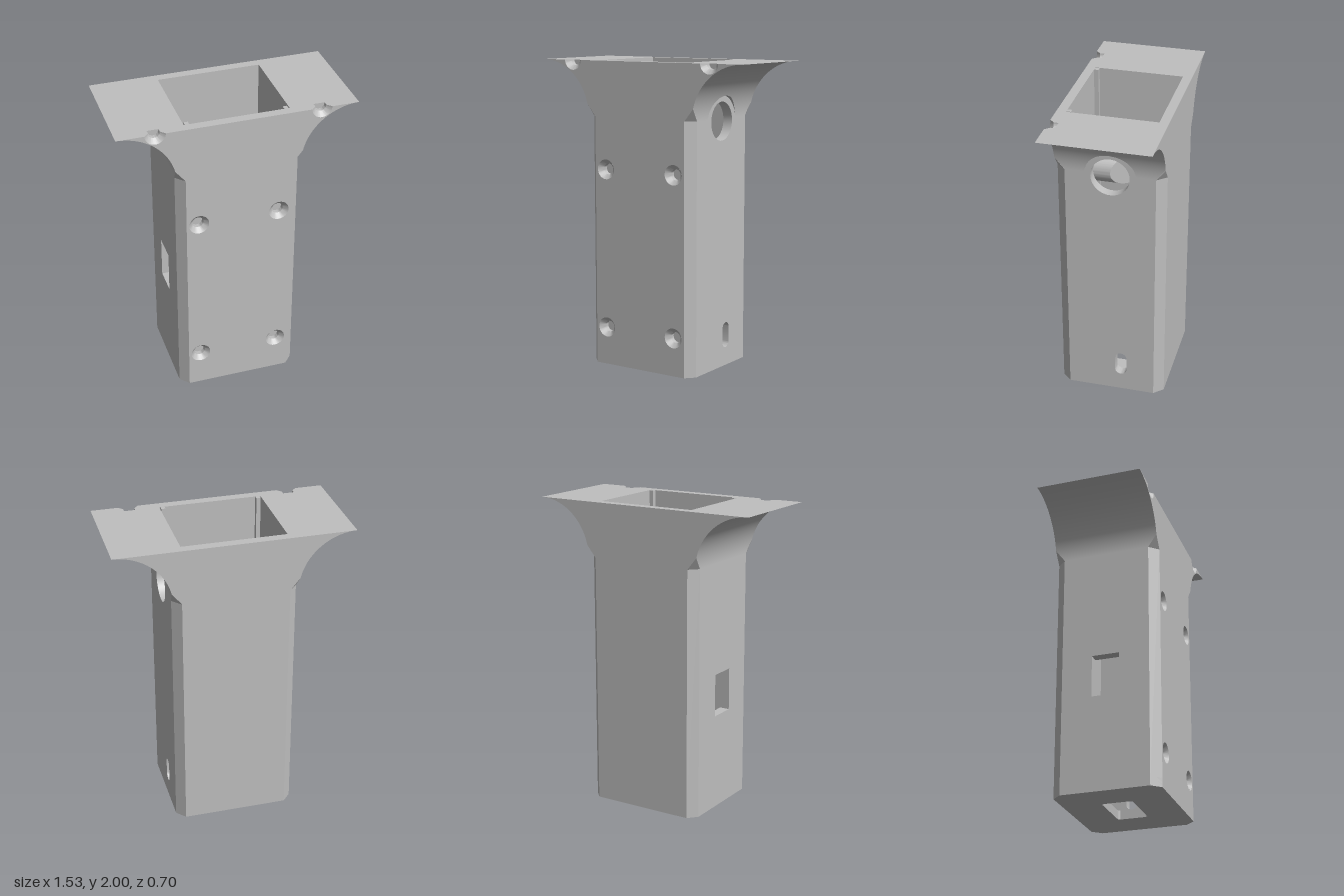
import * as THREE from 'three';
import { toCreasedNormals } from 'three/addons/utils/BufferGeometryUtils.js';
import { ParametricGeometry } from 'three/addons/geometries/ParametricGeometry.js';

const H = 2, HALF_X = 0.4, HALF_Z = 0.35;      // column
const CAV_X = 0.335, CAV_Z = 0.29;             // cavity (CAV_Z is also where the chamfers start)
const CH_X = 0.345, CH_Y = 1.64, STOP_Y = 1.72; // corner chamfers
const TOP_X = 0.765, FX = 0.365, FY = H - CH_Y; // flare ellipse
const BORE_Y = 1.62, BORE_R = 0.125, COUNTER_R = 0.165;
const SCREW_X = 0.263, NOTCH_X = 0.525, SCREW_R = 0.065, PIN_R = 0.036;

const flareX = (y) => TOP_X - FX * Math.sqrt(Math.max(0, 1 - ((y - CH_Y) / FY) ** 2));
const counterHalf = (y) => Math.sqrt(Math.max(0, COUNTER_R ** 2 - (y - BORE_Y) ** 2));
const flareHalfZ = (y) => Math.min(HALF_Z, CAV_Z + (HALF_Z - CAV_Z) * (y - CH_Y) / (STOP_Y - CH_Y));

const polygon = (pts) => new THREE.Shape(pts.map(([x, y]) => new THREE.Vector2(x, y)));
const rect = (x0, y0, x1, y1) => polygon([[x0, y0], [x1, y0], [x1, y1], [x0, y1]]);
const circle = (x, y, r) => new THREE.Path().absarc(x, y, r, 0, Math.PI * 2);
const extrude = (shape, depth) => new THREE.ExtrudeGeometry(shape, { depth, bevelEnabled: false, curveSegments: 24 });

// Flat convex face from its corners
function face(...pts) {
  const out = [];
  for (let i = 1; i < pts.length - 1; i++) out.push(...pts[0], ...pts[i], ...pts[i + 1]);
  const g = new THREE.BufferGeometry();
  g.setAttribute('position', new THREE.Float32BufferAttribute(out, 3));
  g.computeVertexNormals();
  return g;
}

// Flared silhouette of the front and back
function facadeShape(notched) {
  const s = new THREE.Shape();
  const arc = [];
  for (let i = 0; i <= 28; i++) {
    const y = CH_Y + FY * Math.sin((0.2239 + (Math.PI / 2 - 0.2239) * i / 28));
    arc.push([flareX(y), y]);
  }
  s.moveTo(-CH_X, 0).lineTo(CH_X, 0).lineTo(CH_X, CH_Y);
  arc.forEach(([x, y]) => s.lineTo(x, y));
  if (notched) for (const x of [NOTCH_X, -NOTCH_X]) {
    s.lineTo(x + SCREW_R, H);
    s.absarc(x, H, SCREW_R, 0, Math.PI, true);
  }
  arc.reverse().forEach(([x, y]) => s.lineTo(-x, y));
  s.lineTo(-CH_X, CH_Y);
  if (notched) for (const x of [-SCREW_X, SCREW_X]) for (const y of [0.25, 1.3]) s.holes.push(circle(x, y, SCREW_R));
  return s;
}

// Half of the flare surface, between two z limits that depend on height
const flare = (z0, z1) => new ParametricGeometry((u, v, p) => {
  const y = CH_Y + FY * Math.sin(u * Math.PI / 2);
  p.set(flareX(y), y, z0(y) + (z1(y) - z0(y)) * v);
}, 64, 1);

// Countersunk screw recess, opening toward +z
function recess(phi, length) {
  const pts = [[SCREW_R, 0], [PIN_R, -0.03], [PIN_R, -0.06], [0, -0.06]].map(([x, y]) => new THREE.Vector2(x, y));
  const g = new THREE.LatheGeometry(pts, 32, phi, length).rotateX(Math.PI / 2);
  return toCreasedNormals(g, 0.5);
}

export function createModel() {
  const model = new THREE.Group();
  model.name = 'flaredHollowColumn';
  const grey = new THREE.MeshStandardMaterial({ color: 0xbfbfbf, side: THREE.DoubleSide });
  grey.name = 'plain grey';
  const add = (name, geometry, x = 0, y = 0, z = 0, ry = 0) => {
    const m = new THREE.Mesh(geometry, grey);
    m.name = name;
    m.position.set(x, y, z);
    m.rotation.y = ry;
    model.add(m);
    return m;
  };

  // Front and back faces with the inner cavity walls
  add('frontFace', new THREE.ShapeGeometry(facadeShape(true), 24), 0, 0, HALF_Z);
  add('backFace', new THREE.ShapeGeometry(facadeShape(false), 24), 0, 0, -HALF_Z, Math.PI);
  add('cavityFrontWall', new THREE.PlaneGeometry(CAV_X * 2, H), 0, H / 2, CAV_Z, Math.PI);
  add('cavityBackWall', new THREE.PlaneGeometry(CAV_X * 2, H), 0, H / 2, -CAV_Z);

  // Side walls: round bore and cable slot on +x, window on -x
  const leftShape = rect(-CAV_Z, 0, CAV_Z, H);
  const slot = new THREE.Path();
  slot.absarc(0.065, 0.25, 0.039, 0, Math.PI).absarc(0.065, 0.16, 0.039, Math.PI, Math.PI * 2);
  leftShape.holes.push(slot, circle(0, BORE_Y, BORE_R));
  const rightShape = rect(-CAV_Z, 0, CAV_Z, H);
  rightShape.holes.push(rect(-0.09, 0.63, 0.09, 0.91));
  const wall = HALF_X - CAV_X;
  add('leftWall', toCreasedNormals(extrude(leftShape, wall).rotateY(Math.PI / 2), 0.5), CAV_X);
  add('rightWall', extrude(rightShape, wall).rotateY(Math.PI / 2), -HALF_X);

  // Flares; the +x one is cut by the counterbore
  add('leftFlareFront', flare(counterHalf, flareHalfZ));
  add('leftFlareBack', flare((y) => -flareHalfZ(y), (y) => -counterHalf(y)));
  add('rightFlare', flare((y) => -flareHalfZ(y), flareHalfZ), 0, 0, 0, Math.PI);
  const a0 = Math.asin((CH_Y - BORE_Y) / COUNTER_R);
  add('counterboreRim', new ParametricGeometry((u, v, p) => {
    const a = a0 + (Math.PI - 2 * a0) * u;
    const y = BORE_Y + COUNTER_R * Math.sin(a);
    p.set(HALF_X + (flareX(y) - HALF_X) * v, y, COUNTER_R * Math.cos(a));
  }, 40, 1));

  // Corner chamfers with their slanted stops
  for (const sx of [1, -1]) for (const sz of [1, -1]) {
    const P = (x, y, z) => [x * sx, y, z * sz];
    const order = (pts) => (sx * sz > 0 ? pts : pts.reverse());
    add('cornerChamfer', face(...order([P(CH_X, 0, HALF_Z), P(HALF_X, 0, CAV_Z), P(HALF_X, CH_Y, CAV_Z), P(CH_X, CH_Y, HALF_Z)])));
    add('chamferStop', face(...order([P(CH_X, CH_Y, HALF_Z), P(HALF_X, CH_Y, CAV_Z), P(flareX(STOP_Y), STOP_Y, HALF_Z)])));
  }

  // Top rim with the notches cut into its front edge
  const rim = [[-TOP_X, HALF_Z], [-TOP_X, -HALF_Z]];
  for (const x of [-NOTCH_X, NOTCH_X]) {
    for (const [dx, z] of [[-SCREW_R, 0.35], [-PIN_R, 0.32], [-PIN_R, 0.29], [PIN_R, 0.29], [PIN_R, 0.32], [SCREW_R, 0.35]]) rim.push([x + dx, -z]);
  }
  rim.push([TOP_X, -HALF_Z], [TOP_X, HALF_Z]);
  const rimShape = polygon(rim);
  rimShape.holes.push(rect(-CAV_X, -CAV_Z, CAV_X, CAV_Z));
  add('topRim', new THREE.ShapeGeometry(rimShape).rotateX(-Math.PI / 2), 0, H, 0);

  // Floor with a rounded opening
  const floor = polygon([[-CH_X, -HALF_Z], [CH_X, -HALF_Z], [HALF_X, -CAV_Z], [HALF_X, CAV_Z],
    [CH_X, HALF_Z], [-CH_X, HALF_Z], [-HALF_X, CAV_Z], [-HALF_X, -CAV_Z]]);
  const ox = 0.162, oz = 0.1, r = 0.018, opening = new THREE.Path();
  [[1, 1], [-1, 1], [-1, -1], [1, -1]].forEach(([sx, sz], i) =>
    opening.absarc(sx * (ox - r), sz * (oz - r), r, i * Math.PI / 2, (i + 1) * Math.PI / 2));
  floor.holes.push(opening);
  add('floor', extrude(floor, 0.06).rotateX(-Math.PI / 2));

  for (const s of [1, -1]) {
    // Screw recesses, bosses behind them and the half notches at the top
    for (const y of [0.25, 1.3]) {
      add('screwRecess', recess(0, Math.PI * 2), s * SCREW_X, y, HALF_Z);
      const b = new THREE.Shape();
      b.moveTo(s * CAV_X, -0.105).lineTo(s * CAV_X, 0.105).lineTo(s * 0.305, 0.105);
      b.absarc(s * 0.305, 0, 0.105, Math.PI / 2, -Math.PI / 2, s < 0);
      const boss = extrude(b, CAV_Z);
      const p = boss.attributes.position;
      // slant the inner end toward the side wall
      for (let i = 0; i < p.count; i++) if (p.getZ(i) < 0.01) p.setZ(i, 0.02 + (CAV_X - Math.abs(p.getX(i))) * 1.04);
      boss.computeVertexNormals();
      add('screwBoss', toCreasedNormals(boss, 0.5), 0, y, 0);
    }
    add('topNotch', recess(-Math.PI / 2, Math.PI), s * NOTCH_X, H, HALF_Z);
    // Thin guide rail in the front cavity corner
    add('guideRail', new THREE.BoxGeometry(0.028, H - 0.06, 0.03), s * 0.314, 1.03, 0.275);
  }
  return model;
}
